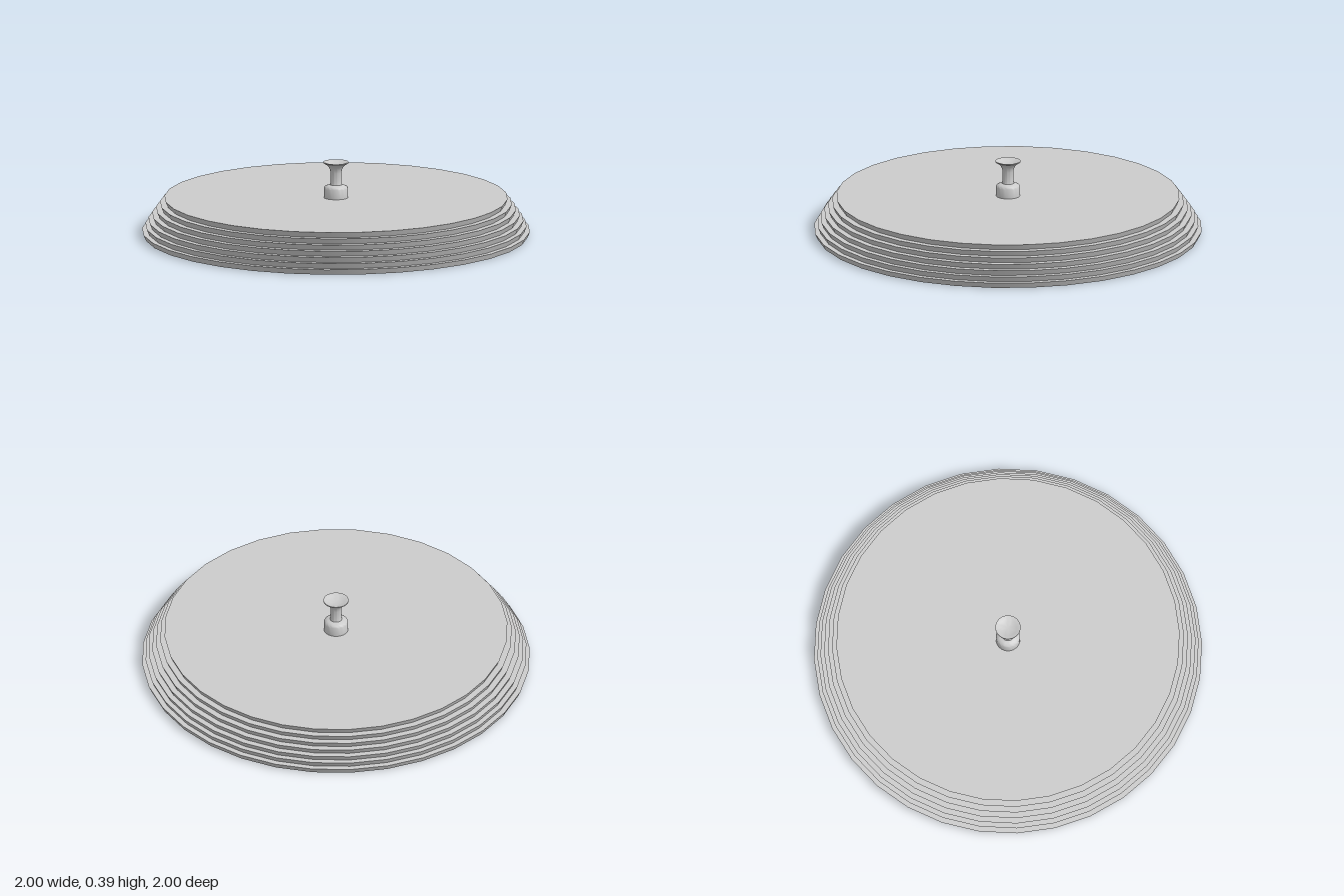
import * as THREE from 'three';
import { toCreasedNormals } from 'three/addons/utils/BufferGeometryUtils.js';

const material = new THREE.MeshStandardMaterial({ color: 0xcccccc, side: THREE.DoubleSide });

// Turn a [radius, height] profile, listed from bottom to top
function turned(name, profile, crease) {
  const points = profile.map(([r, y]) => new THREE.Vector2(r, y));
  const geometry = toCreasedNormals(new THREE.LatheGeometry(points, 32), crease);
  const mesh = new THREE.Mesh(geometry, material);
  mesh.name = name;
  return mesh;
}

export function createModel() {
  const group = new THREE.Group();
  group.name = 'lid';

  // Stepped shell, open underneath: each tier leans out to a small overhang
  const rims = [1, 0.983, 0.967, 0.948, 0.928, 0.907, 0.885];
  const height = 0.2;
  const step = height / rims.length;
  const shell = [];
  rims.forEach((r, i) => {
    shell.push([r - 0.012, i * step], [r, (i + 1) * step]);
  });
  shell.push([0, height]);
  group.add(turned('steppedCover', shell, 0.5));

  // Knob: round foot, slim neck and flared, slightly dished top
  const knob = [
    [0.062, 0.2], [0.062, 0.25], [0.058, 0.258], [0.046, 0.264],
    [0.031, 0.268], [0.028, 0.28], [0.028, 0.33], [0.031, 0.347],
    [0.038, 0.361], [0.05, 0.373], [0.065, 0.382], [0.065, 0.387],
    [0.058, 0.386], [0.045, 0.38], [0.025, 0.375], [0, 0.373],
  ];
  group.add(turned('knob', knob, 0.7));

  return group;
}
